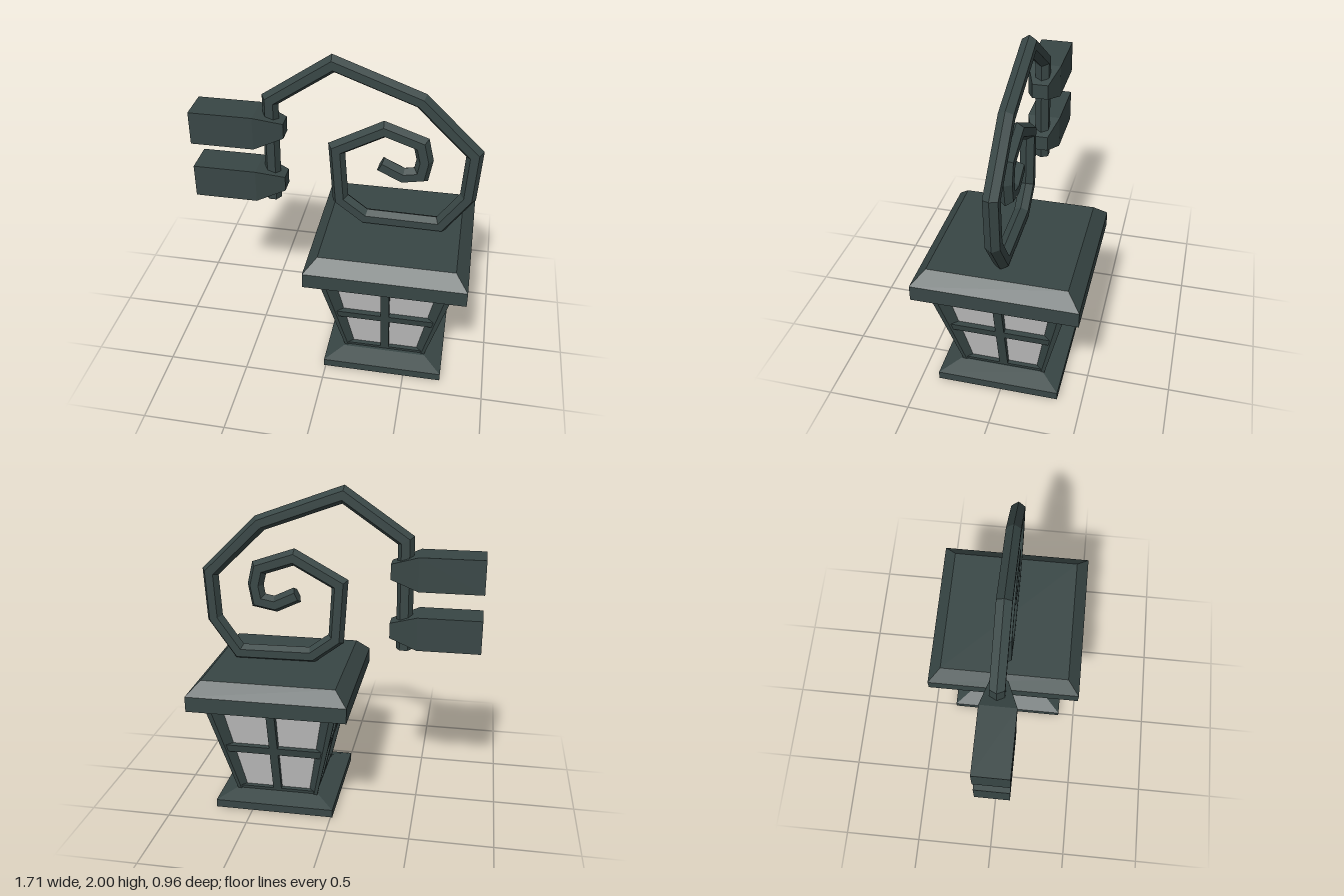
import * as THREE from 'three';

// Skin a list of convex rings (counter-clockwise about the direction of travel), capped at both ends
function loft(rings) {
  const pos = [];
  const tri = (a, b, c) => [a, b, c].forEach((p) => pos.push(p[0], p[1], p[2]));
  const n = rings[0].length;
  for (let r = 0; r < rings.length - 1; r++) {
    const a = rings[r], b = rings[r + 1];
    for (let i = 0; i < n; i++) {
      const j = (i + 1) % n;
      tri(a[i], a[j], b[j]);
      tri(a[i], b[j], b[i]);
    }
  }
  const first = rings[0], last = rings[rings.length - 1];
  for (let i = 1; i < n - 1; i++) {
    tri(first[0], first[i + 1], first[i]);
    tri(last[0], last[i], last[i + 1]);
  }
  const g = new THREE.BufferGeometry();
  g.setAttribute('position', new THREE.Float32BufferAttribute(pos, 3));
  g.computeVertexNormals();
  return g;
}

// Horizontal square ring of half width h at height y
const square = (h, y) => [[h, y, h], [h, y, -h], [-h, y, -h], [-h, y, h]];

// Hexagonal bar following a path in the xy plane, with mitred corners
function hexBar(path, radius) {
  const pts = path.map(([x, y]) => new THREE.Vector2(x, y));
  const rings = pts.map((p, i) => {
    const dIn = pts[Math.max(i, 1)].clone().sub(pts[Math.max(i, 1) - 1]).normalize();
    const k = Math.min(i, pts.length - 2);
    const dOut = pts[k + 1].clone().sub(pts[k]).normalize();
    const d = dIn.clone().add(dOut).normalize();
    const miter = 1 / d.dot(dIn);
    return Array.from({ length: 6 }, (_, s) => {
      const a = (s * Math.PI) / 3;
      const o = Math.cos(a) * radius * miter;
      return [p.x - d.y * o, p.y + d.x * o, Math.sin(a) * radius];
    });
  });
  return loft(rings);
}

export function createModel() {
  const model = new THREE.Group();
  model.name = 'wallLantern';
  const metal = new THREE.MeshStandardMaterial({ color: 0x384645 });
  metal.name = 'dark green metal';
  const pane = new THREE.MeshStandardMaterial({ color: 0xc4c4c4 });
  pane.name = 'pale grey glass';

  const add = (parent, name, geometry, material = metal) => {
    const mesh = new THREE.Mesh(geometry, material);
    mesh.name = name;
    parent.add(mesh);
    return mesh;
  };

  // Roof and foot plates
  add(model, 'roof', loft([square(0.482, 0.72), square(0.482, 0.815), square(0.405, 0.895)]))
    .position.x = 0.363;
  add(model, 'base', loft([square(0.372, 0), square(0.372, 0.05), square(0.26, 0.09)]))
    .position.set(0.361, 0, 0.02);

  // Tapered lantern body: half width grows with height
  const body = new THREE.Group();
  body.name = 'lanternBody';
  body.position.set(0.362, 0, 0.009);
  model.add(body);
  const y0 = 0.08, y1 = 0.725;
  const half = (y) => 0.258 + ((y - 0.09) / 0.63) * 0.145;
  add(body, 'glass', loft([y0, y1].map((y) => square(half(y) * 0.868, y))), pane);

  // Corner post section, as fractions of the half width
  const postSection = [[1, 1], [1, 0.92], [0.86, 0.77], [0.77, 0.86], [0.92, 1]];
  const post = loft([y0, y1].map((y) => postSection.map(([x, z]) => [x * half(y), y, z * half(y)])));
  const mullion = loft([y0, y1].map((y) => {
    const f = half(y) * 0.975, b = half(y) * 0.83;
    return [[0.026, y, f], [0.026, y, b], [-0.026, y, b], [-0.026, y, f]];
  }));
  const crossBar = (bottom, top) => loft([bottom, top].map((y) => {
    const h = half(y), f = h * 0.975, b = h * 0.83;
    return [[h * 0.9, y, f], [h * 0.78, y, b], [-h * 0.78, y, b], [-h * 0.9, y, f]];
  }));
  const bars = [crossBar(y0, 0.11), crossBar(0.38, 0.43), crossBar(0.7, y1)];
  const barNames = ['bottomRail', 'middleBar', 'topRail'];

  for (let i = 0; i < 4; i++) {
    const side = new THREE.Group();
    side.name = 'windowFrame' + (i + 1);
    side.rotation.y = (i * Math.PI) / 2;
    body.add(side);
    add(side, 'cornerPost', post);
    add(side, 'mullion', mullion);
    bars.forEach((g, k) => add(side, barNames[k], g));
  }

  // Scrolled hanging arm
  add(model, 'scrollArm', hexBar([
    [-0.394, 1.02], [-0.39, 1.69], [-0.02, 1.945], [0.483, 1.76],
    [0.805, 1.448], [0.79, 1.152], [0.64, 0.935], [0.177, 0.94],
    [0.024, 1.056], [0, 1.406], [0.28, 1.56], [0.497, 1.485],
    [0.522, 1.38], [0.505, 1.28], [0.4, 1.26], [0.264, 1.325],
  ], 0.049));

  // Two wall brackets with tapered noses
  const section = (x, hy, hz, y, z) => [[x, y + hy, z + hz], [x, y - hy, z + hz], [x, y - hy, z - hz], [x, y + hy, z - hz]];
  const bracket = loft([
    section(-0.857, 0.103, 0.104, 0, 0.01),
    section(-0.475, 0.103, 0.104, 0, 0.01),
    section(-0.308, 0.047, 0.05, -0.002, 0),
  ]);
  add(model, 'upperBracket', bracket).position.y = 1.512;
  add(model, 'lowerBracket', bracket).position.y = 1.148;

  return model;
}
